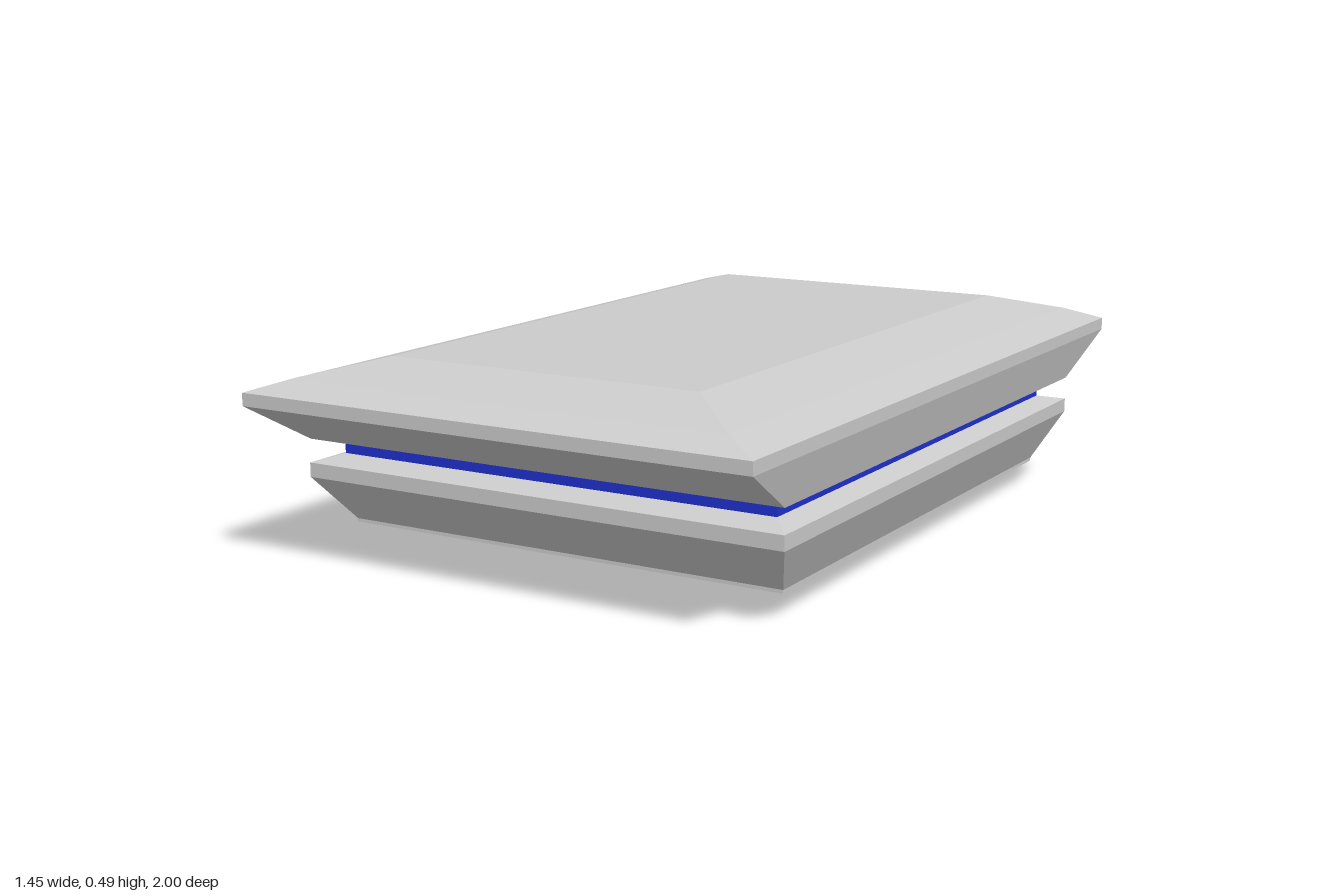
import * as THREE from 'three';

const grey = new THREE.MeshStandardMaterial({ color: 0xcccccc, flatShading: true });
const blue = new THREE.MeshStandardMaterial({ color: 0x2030cc, flatShading: true });

// Closed solid through rectangular sections [y, x0, x1, halfDepth], bottom to top
function rectLoft(sections) {
  const pos = [];
  const loops = sections.map(([y, x0, x1, z]) => [[x0, y, z], [x1, y, z], [x1, y, -z], [x0, y, -z]]);
  const quad = (a, b, c, d) => pos.push(...a, ...b, ...c, ...a, ...c, ...d);
  for (let s = 0; s < loops.length - 1; s++) {
    for (let i = 0; i < 4; i++) {
      const j = (i + 1) % 4;
      quad(loops[s][i], loops[s][j], loops[s + 1][j], loops[s + 1][i]);
    }
  }
  quad(...[...loops[0]].reverse());
  quad(...loops[loops.length - 1]);
  const geo = new THREE.BufferGeometry();
  geo.setAttribute('position', new THREE.Float32BufferAttribute(pos, 3));
  geo.computeVertexNormals();
  return geo;
}

// Thin rectangular plate with an octagonal hole for the underside recess
function holedPlate(x0, x1, z, y, height) {
  const shape = new THREE.Shape([[x0, -z], [x1, -z], [x1, z], [x0, z]].map(p => new THREE.Vector2(...p)));
  const hole = [];
  for (let i = 0; i < 8; i++) {
    const a = (i + 0.5) * Math.PI / 4;
    hole.push(new THREE.Vector2(-0.01 + 0.15 * Math.cos(a), 0.14 * Math.sin(a)));
  }
  shape.holes.push(new THREE.Path(hole.reverse()));
  const geo = new THREE.ExtrudeGeometry(shape, { depth: height, bevelEnabled: false });
  return geo.rotateX(-Math.PI / 2).translate(0, y, 0);
}

export function createModel() {
  const model = new THREE.Group();
  const add = (name, geo, mat = grey, parent = model) => {
    const mesh = new THREE.Mesh(geo, mat);
    mesh.name = name;
    parent.add(mesh);
  };

  // Wide upper hull with a bevelled roof
  add('upperHull', rectLoft([
    [0.262, -0.525, 0.635, 0.74],
    [0.277, -0.57, 0.69, 0.81],
    [0.386, -0.6, 0.72, 1],
    [0.417, -0.6, 0.72, 1],
    [0.447, -0.51, 0.63, 0.935],
    [0.49, -0.345, 0.47, 0.775],
  ]));

  // Coloured band in the waist
  add('waistBand', rectLoft([[0.234, -0.525, 0.635, 0.74], [0.262, -0.525, 0.635, 0.74]]), blue);

  // Lower hull
  add('lowerHull', rectLoft([
    [0.068, -0.52, 0.635, 0.71],
    [0.184, -0.575, 0.69, 0.81],
    [0.219, -0.575, 0.69, 0.81],
    [0.234, -0.525, 0.635, 0.74],
  ]));

  // Stepped underside, shrinking downward
  const steps = new THREE.Group();
  steps.name = 'steppedUnderside';
  model.add(steps);
  const h = 0.068 / 8;
  for (let k = 0; k < 8; k++) {
    add('step' + (k + 1),
      holedPlate(-0.52 + 0.027 * k, 0.635 - 0.0465 * k, 0.71 - 0.041 * k, 0.068 - h * (k + 1), h), grey, steps);
  }

  // Side arm with a slightly sloping top
  const profile = new THREE.Shape([[-0.725, 0], [-0.32, 0], [-0.32, 0.183], [-0.58, 0.183], [-0.725, 0.175]]
    .map(p => new THREE.Vector2(...p)));
  add('sideArm', new THREE.ExtrudeGeometry(profile, { depth: 0.165, bevelEnabled: false }).translate(0, 0, -0.1));

  return model;
}
